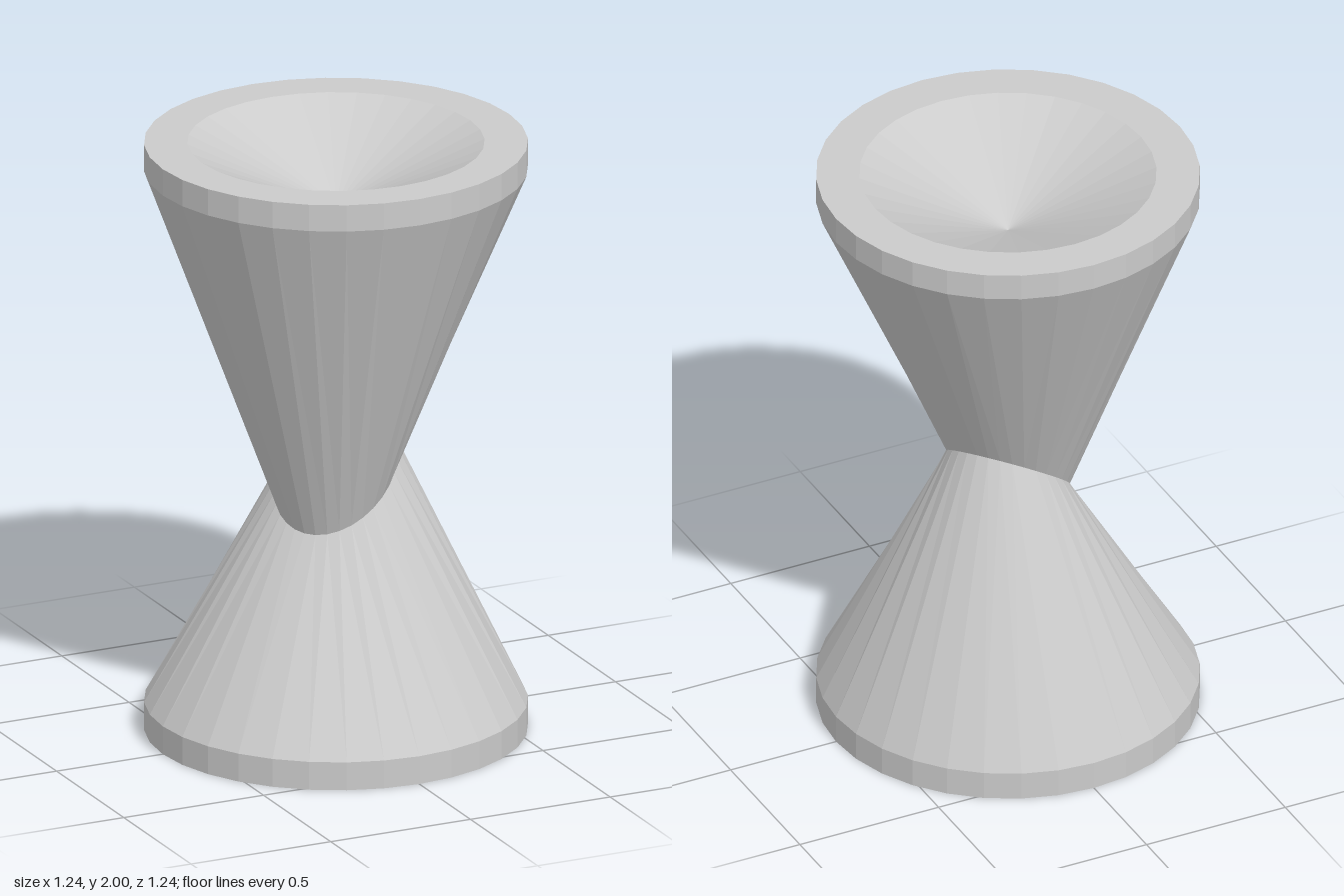
import * as THREE from 'three';

const SIDES = 32;
const WAIST = { radius: 0.2, y: 0.875, slopeX: 0.6, slopeZ: -0.49 };

export function createModel() {
  const group = new THREE.Group();
  group.name = 'hourglassStool';

  // Profile from the base centre, over both rims, to the bottom of the dished seat
  const profile = [
    [0, 0], [0.62, 0], [0.62, 0.095],
    [WAIST.radius, WAIST.y],
    [0.62, 1.91], [0.62, 2], [0.48, 2], [0, 1.78],
  ].map(([r, y]) => new THREE.Vector2(r, y));
  const geometry = new THREE.LatheGeometry(profile, SIDES);

  // Tilt the waist ring so the two cones meet on a slanted plane
  const pos = geometry.attributes.position;
  for (let i = 0; i < pos.count; i++) {
    if (Math.abs(pos.getY(i) - WAIST.y) < 1e-4) {
      pos.setY(i, WAIST.y + WAIST.slopeX * pos.getX(i) + WAIST.slopeZ * pos.getZ(i));
    }
  }

  const faceted = geometry.toNonIndexed();
  faceted.computeVertexNormals();
  const body = new THREE.Mesh(
    faceted,
    new THREE.MeshStandardMaterial({ color: 0xcccccc, flatShading: true }),
  );
  body.name = 'stoolBody';
  group.add(body);
  return group;
}
